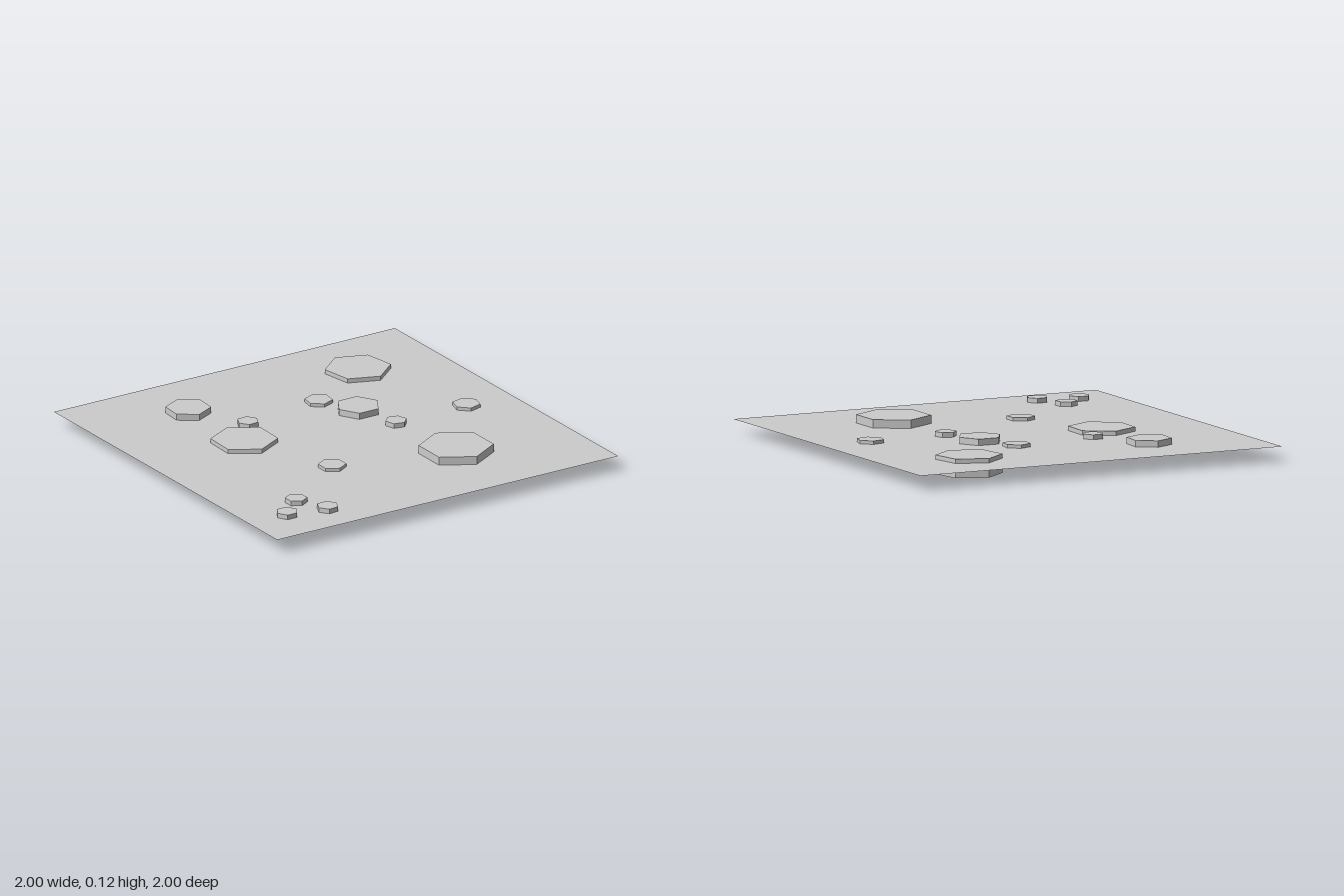
import * as THREE from 'three';

const material = new THREE.MeshStandardMaterial({
  color: 0xcccccc, flatShading: true, side: THREE.DoubleSide,
});

// Vertical extents [bottom, top] and radius of each tile size
const SIZES = {
  huge: { radius: 0.185, bottom: 0.015, top: 0.115 },
  large: { radius: 0.166, bottom: 0, top: 0.095 },
  medium: { radius: 0.112, bottom: 0.043, top: 0.105 },
  small: { radius: 0.07, bottom: 0.052, top: 0.09 },
  tiny: { radius: 0.055, bottom: 0.07, top: 0.097 },
};

// Size, x, z, turn in degrees (clockwise seen from above)
const TILES = [
  ['huge', 0.36, 0.526, 0],
  ['large', -0.437, -0.154, 2],
  ['large', 0.541, -0.631, -9.3],
  ['medium', -0.455, -0.628, 4],
  ['medium', 0.257, -0.194, 30],
  ['small', 0.156, -0.394, 8],
  ['small', 0.735, 0.046, 15],
  ['small', -0.252, 0.35, 0],
  ['tiny', -0.297, -0.335, 26],
  ['tiny', 0.316, 0.054, -16],
  ['tiny', -0.651, 0.637, 0],
  ['tiny', -0.785, 0.76, 30],
  ['tiny', -0.576, 0.805, 24],
];

// Hexagonal tile: six walls and a top, open underneath
function hexTile(size, x, z, turn) {
  const { radius, bottom, top } = SIZES[size];
  const height = top - bottom;
  const tile = new THREE.Group();
  tile.name = `${size}HexTile`;

  const walls = new THREE.Mesh(
    new THREE.CylinderGeometry(radius, radius, height, 6, 1, true), material);
  walls.name = 'tileWalls';
  walls.position.y = height / 2;

  const cap = new THREE.Mesh(
    new THREE.CircleGeometry(radius, 6, Math.PI / 2).rotateX(-Math.PI / 2), material);
  cap.name = 'tileTop';
  cap.position.y = height;

  tile.add(walls, cap);
  tile.position.set(x, bottom, z);
  tile.rotation.y = -THREE.MathUtils.degToRad(turn);
  return tile;
}

export function createModel() {
  const model = new THREE.Group();
  model.name = 'hexTileField';

  // Thin square sheet the tiles pass through
  const sheet = new THREE.Mesh(
    new THREE.PlaneGeometry(2, 2).rotateX(-Math.PI / 2), material);
  sheet.name = 'groundSheet';
  sheet.position.y = 0.073;
  model.add(sheet);

  for (const tile of TILES) model.add(hexTile(...tile));
  return model;
}
